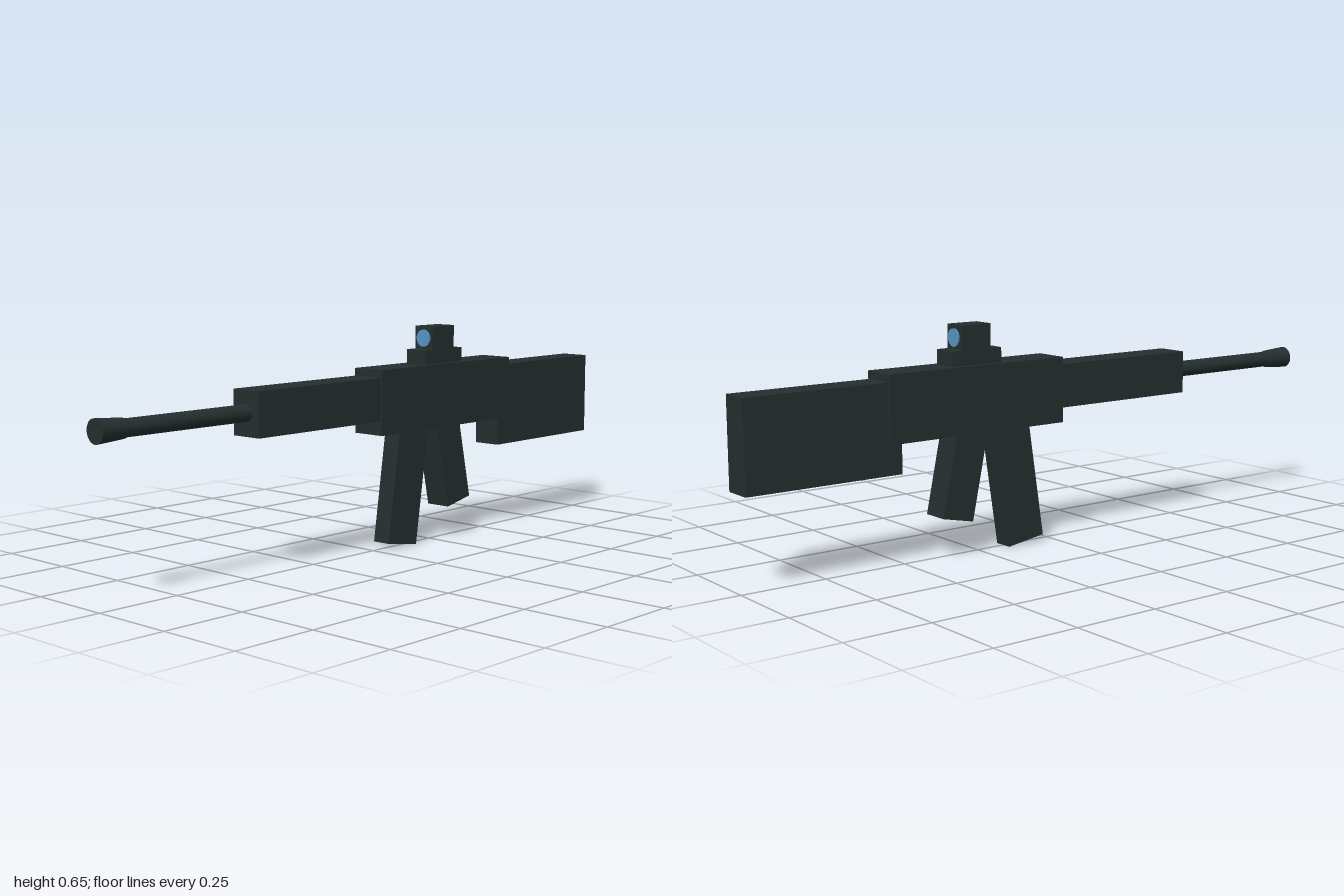
import * as THREE from 'three';

export function createModel() {
  const model = new THREE.Group();
  model.name = 'rifle';

  const gunmetal = new THREE.MeshStandardMaterial({ color: 0x252f2f });
  gunmetal.name = 'dark gunmetal';
  const glass = new THREE.MeshStandardMaterial({ color: 0x5896c6 });
  glass.name = 'blue glass';

  function add(name, geometry, material = gunmetal) {
    const mesh = new THREE.Mesh(geometry, material);
    mesh.name = name;
    model.add(mesh);
    return mesh;
  }

  // Box given by its half width and its y and z ranges
  function block(name, halfWidth, y0, y1, z0, z1) {
    const mesh = add(name, new THREE.BoxGeometry(halfWidth * 2, y1 - y0, z1 - z0));
    mesh.position.set(0, (y0 + y1) / 2, (z0 + z1) / 2);
  }

  // Round part along z, with the radius at its back and front ends
  function rod(name, rBack, rFront, y, z0, z1, material) {
    const geometry = new THREE.CylinderGeometry(rFront, rBack, z1 - z0, 24);
    geometry.rotateX(Math.PI / 2);
    add(name, geometry, material).position.set(0, y, (z0 + z1) / 2);
  }

  // Tilted box hanging from the receiver, placed by the middle of its bottom
  function hanging(name, width, depth, length, y, z, tilt) {
    const geometry = new THREE.BoxGeometry(width, length, depth);
    geometry.translate(0, length / 2, 0);
    const mesh = add(name, geometry);
    mesh.position.set(0, y, z);
    mesh.rotation.x = tilt;
  }

  // Body
  block('receiver', 0.053, 0.349, 0.54, -0.572, 0.02);
  block('handguard', 0.049, 0.391, 0.518, 0, 0.5);
  block('stock', 0.044, 0.264, 0.518, -1, -0.53);

  // Barrel and flared muzzle
  rod('barrel', 0.024, 0.024, 0.456, 0.48, 0.93);
  rod('muzzle', 0.027, 0.033, 0.456, 0.915, 1);

  // Magazine and grip
  hanging('magazine', 0.058, 0.125, 0.38, 0.0094, -0.097, -0.15);
  hanging('grip', 0.08, 0.104, 0.3, 0.108, -0.345, 0.21);

  // Sight with a lens at each end
  block('sightMount', 0.037, 0.53, 0.583, -0.357, -0.19);
  block('sightBody', 0.033, 0.578, 0.652, -0.324, -0.224);
  rod('frontLens', 0.0257, 0.0257, 0.616, -0.226, -0.22, glass);
  rod('rearLens', 0.0257, 0.0257, 0.616, -0.328, -0.322, glass);

  return model;
}
